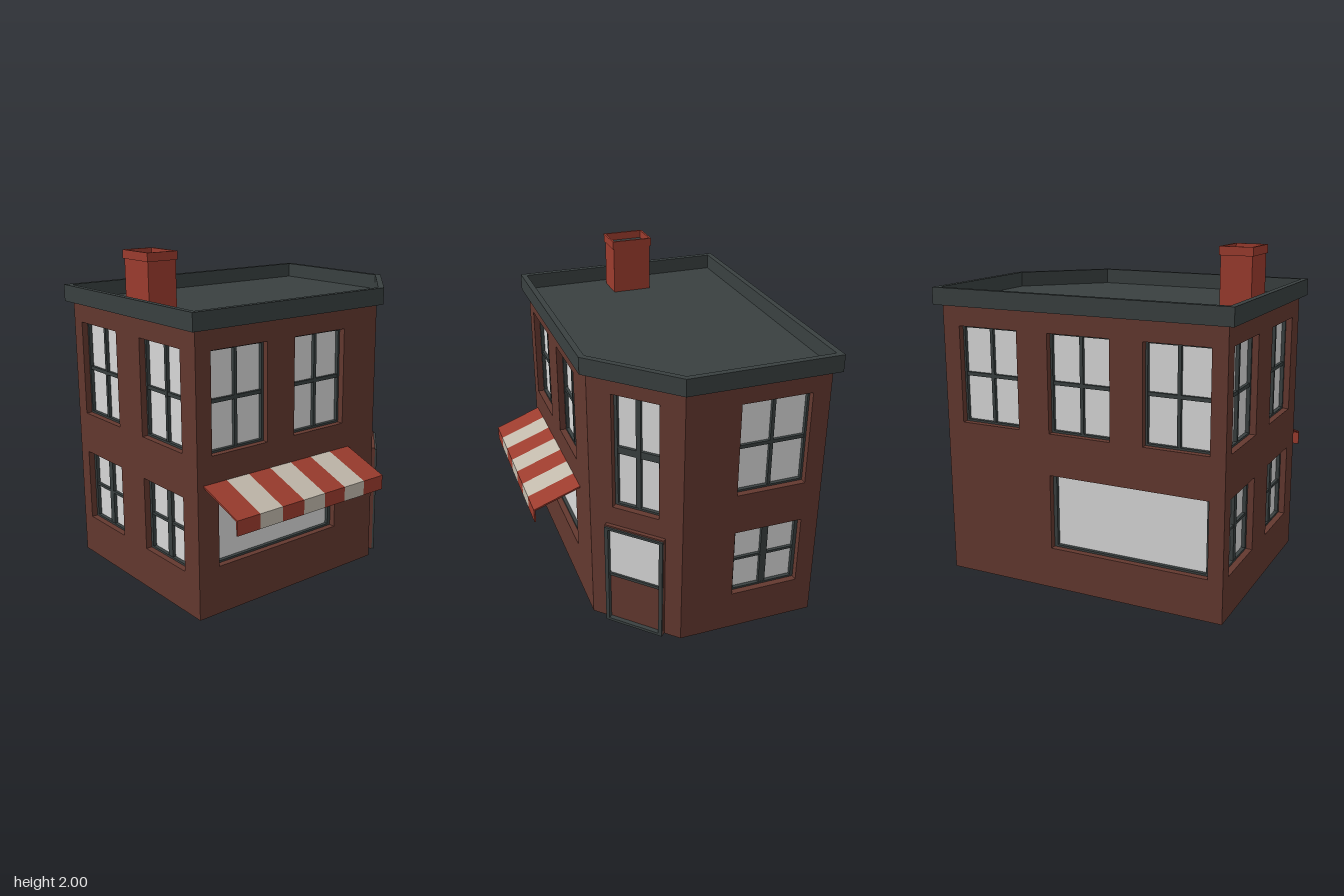
import * as THREE from 'three';

const material = (name, color) => {
  const m = new THREE.MeshStandardMaterial({ color });
  m.name = name;
  return m;
};

export function createModel() {
  const brick = material('brown brick', 0x63382f);
  const slate = material('dark slate', 0x394040);
  const glass = material('pale glass', 0xd9d9d9);
  const red = material('warm red', 0x9c3c2e);
  const cream = material('cream cloth', 0xc2baac);

  const model = new THREE.Group();
  model.name = 'cornerShop';

  const add = (parent, name, geometry, mat) => {
    const mesh = new THREE.Mesh(geometry, mat);
    mesh.name = name;
    parent.add(mesh);
    return mesh;
  };
  const box = (parent, name, mat, x0, x1, y0, y1, z0, z1) => {
    const g = new THREE.BoxGeometry(x1 - x0, y1 - y0, z1 - z0);
    g.translate((x0 + x1) / 2, (y0 + y1) / 2, (z0 + z1) / 2);
    return add(parent, name, g, mat);
  };
  const outline = (points) => new THREE.Shape(points.map(([a, b]) => new THREE.Vector2(a, b)));
  const rect = (x0, x1, y0, y1) => [[x0, y0], [x1, y0], [x1, y1], [x0, y1]];
  const extrude = (shape, depth) => new THREE.ExtrudeGeometry(shape, { depth, bevelEnabled: false });
  // Level slab from a plan outline given as [x, -z], with an optional hole
  const slab = (parent, name, mat, plan, y0, y1, hole) => {
    const shape = outline(plan);
    if (hole) shape.holes.push(outline(hole));
    const g = extrude(shape, y1 - y0);
    g.rotateX(-Math.PI / 2);
    g.translate(0, y0, 0);
    return add(parent, name, g, mat);
  };
  // Building plan grown outward by o, with the cut corner at front left
  const plan = (o) => {
    const c = o * Math.tan(Math.PI / 8);
    return [
      [-0.89 - o, -0.51 - o], [0.46 + c, -0.51 - o], [0.88 + o, -0.09 - c],
      [0.88 + o, 0.77 + o], [-0.89 - o, 0.77 + o],
    ];
  };

  // Window set back in its opening: glass, border and optional cross bars
  const addWindow = (wall, { u0, u1, y0, y1, side = 0.012, vbar = 0, hbar = 0 }) => {
    const g = new THREE.Group();
    g.name = 'window';
    wall.add(g);
    const e = 0.012, back = -0.065, front = -0.038;
    box(g, 'windowGlass', glass, u0, u1, y0, y1, -0.067, -0.06);
    box(g, 'frameSide', slate, u0, u0 + side, y0, y1, back, front);
    box(g, 'frameSide', slate, u1 - side, u1, y0, y1, back, front);
    box(g, 'frameBottom', slate, u0 + side, u1 - side, y0, y0 + e, back, front);
    box(g, 'frameTop', slate, u0 + side, u1 - side, y1 - e, y1, back, front);
    const u = (u0 + u1) / 2, y = (y0 + y1) / 2;
    if (vbar) box(g, 'uprightBar', slate, u - vbar / 2, u + vbar / 2, y0 + e, y1 - e, back, front - 0.002);
    if (hbar) box(g, 'crossBar', slate, u0 + side, u1 - side, y - hbar / 2, y + hbar / 2, back, front - 0.004);
  };

  // Wall panel: u runs left to right seen from outside, +z points outward
  const addWall = (name, x, z, angle, length, windows) => {
    const wall = new THREE.Group();
    wall.name = name;
    wall.position.set(x, 0, z);
    wall.rotation.y = angle;
    model.add(wall);
    const shape = outline(rect(0, length, 0, 1.65));
    for (const w of windows) shape.holes.push(outline(rect(w.u0, w.u1, w.y0, w.y1)));
    const g = extrude(shape, 0.07);
    g.translate(0, 0, -0.07);
    add(wall, 'wallPanel', g, brick);
    windows.forEach((w) => addWindow(wall, w));
    return wall;
  };
  const upper = (u0, u1) => ({ u0, u1, y0: 0.95, y1: 1.53, vbar: 0.02, hbar: 0.022 });
  const lower = (u0, u1) => ({ u0, u1, y0: 0.25, y1: 0.695, side: 0.02, vbar: 0.042, hbar: 0.016 });
  const shop = (u0, u1, y0) => ({ u0, u1, y0, y1: 0.7, side: 0.022 });

  addWall('frontWall', -0.89, 0.51, 0, 1.35,
    [upper(0.1, 0.49), upper(0.69, 1.08), shop(0.14, 1.03, 0.29)]);
  const corner = addWall('cornerWall', 0.46, 0.51, Math.PI / 4, 0.594,
    [{ u0: 0.15, u1: 0.444, y0: 0.82, y1: 1.55, side: 0.018, vbar: 0.03, hbar: 0.045 }]);
  addWall('leftSideWall', 0.88, 0.09, Math.PI / 2, 0.86, [upper(0.325, 0.75), lower(0.325, 0.75)]);
  addWall('backWall', 0.88, -0.77, Math.PI, 1.77,
    [upper(0.11, 0.5), upper(0.7, 1.09), upper(1.29, 1.68), shop(0.7, 1.68, 0.25)]);
  addWall('rightSideWall', -0.89, -0.77, -Math.PI / 2, 1.28,
    [upper(0.09, 0.49), upper(0.74, 1.14), lower(0.09, 0.49), lower(0.74, 1.14)]);

  // Corner door with a proud brick surround and slate frame
  const door = new THREE.Group();
  door.name = 'door';
  door.position.x = 0.297;
  corner.add(door);
  for (const s of [-1, 1]) {
    const span = (a, b) => (s < 0 ? [-b, -a] : [a, b]);
    box(door, 'doorSurroundSide', brick, ...span(0.17, 0.19), 0, 0.7, -0.01, 0.024);
    box(door, 'doorFrameSide', slate, ...span(0.165, 0.188), 0, 0.69, 0, 0.036);
  }
  box(door, 'doorSurroundTop', brick, -0.17, 0.17, 0.68, 0.7, -0.01, 0.024);
  box(door, 'doorFrameTop', slate, -0.165, 0.165, 0.675, 0.69, 0, 0.036);
  box(door, 'doorFrameBottom', slate, -0.165, 0.165, 0, 0.018, 0, 0.036);
  box(door, 'doorRail', slate, -0.165, 0.165, 0.337, 0.355, 0, 0.02);
  box(door, 'doorGlass', glass, -0.165, 0.165, 0.355, 0.675, 0, 0.008);
  box(door, 'doorPanel', brick, -0.165, 0.165, 0.018, 0.337, 0, 0.008);

  // Floor, flat roof and raised parapet
  slab(model, 'floor', brick, plan(-0.03), 0, 0.01);
  slab(model, 'roofDeck', slate, plan(0.02), 1.651, 1.66);
  slab(model, 'parapet', slate, plan(0.04), 1.65, 1.752, plan(0.005));

  // Hollow chimney with a wider cap
  const chimney = new THREE.Group();
  chimney.name = 'chimney';
  model.add(chimney);
  const flue = rect(-0.822, -0.648, 0.012, 0.248);
  slab(chimney, 'chimneyShaft', red, rect(-0.828, -0.642, 0.008, 0.252), 1.655, 1.95);
  slab(chimney, 'chimneyCap', red, rect(-0.835, -0.635, 0, 0.26), 1.95, 2, flue);
  slab(chimney, 'flueOpening', slate, flue, 1.95, 1.953);

  // Striped awning: sloping cloth with a hanging valance
  const awning = new THREE.Group();
  awning.name = 'awning';
  model.add(awning);
  const cloth = outline([
    [0.505, 0.783], [0.793, 0.677], [0.793, 0.597], [0.803, 0.597], [0.803, 0.684], [0.505, 0.794],
  ]);
  const stripes = 7, width = 1.095 / stripes;
  for (let i = 0; i < stripes; i++) {
    const g = extrude(cloth, width);
    g.rotateY(-Math.PI / 2);
    g.translate(-0.85 + (i + 1) * width, 0, 0);
    add(awning, 'awningStripe', g, i % 2 ? cream : red);
  }
  return model;
}
